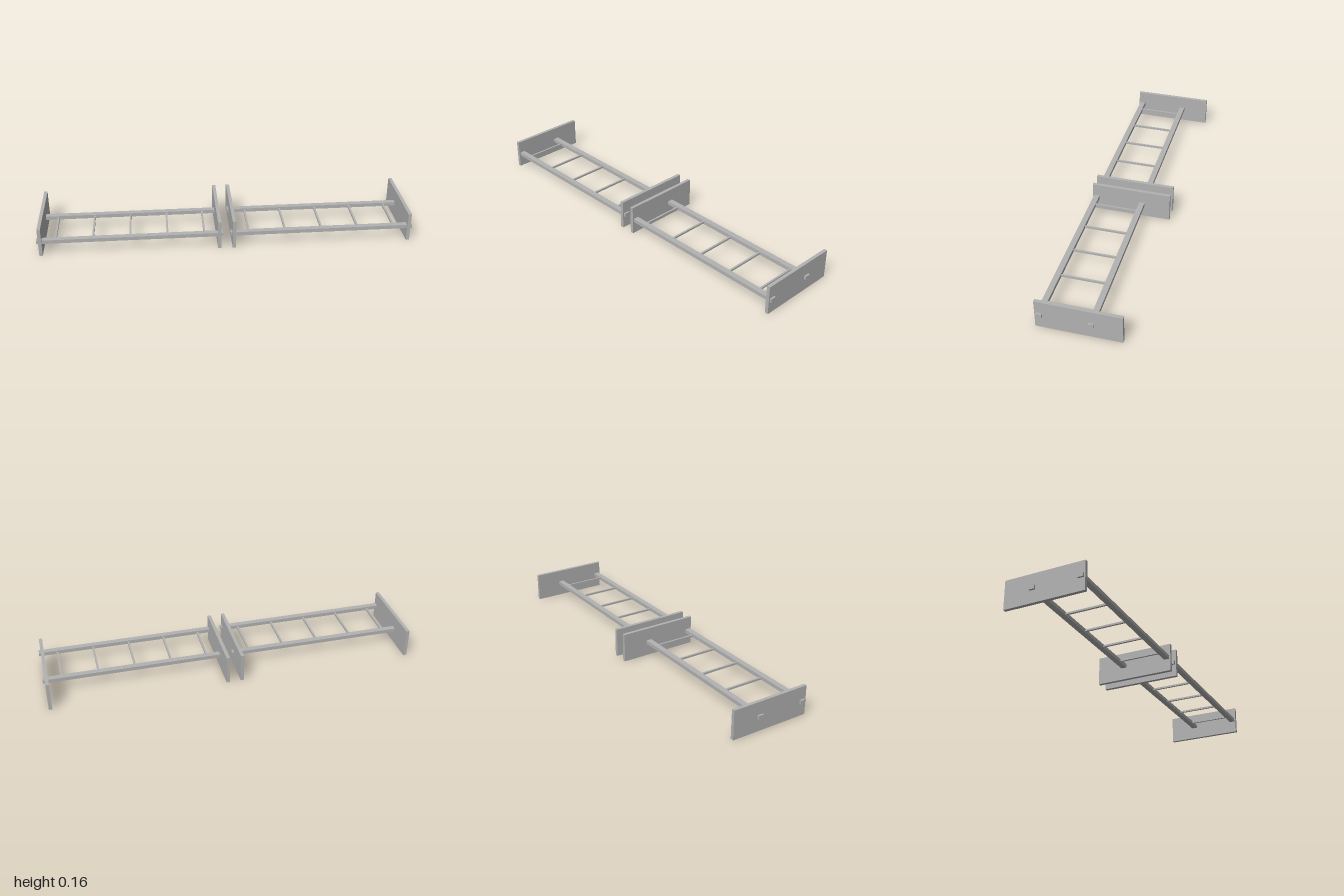
import * as THREE from 'three';

export function createModel() {
  const grey = new THREE.MeshStandardMaterial({ color: 0xb2b2b2 });
  grey.name = 'grey';
  const model = new THREE.Group();
  model.name = 'ladderFrames';

  const H = 0.157, midY = H / 2;
  const railZ = [0.194, -0.062], railD = 0.03;

  function box(parent, name, w, h, d, x, y, z) {
    const mesh = new THREE.Mesh(new THREE.BoxGeometry(w, h, d), grey);
    mesh.name = name;
    mesh.position.set(x, y, z);
    parent.add(mesh);
  }

  // Two identical ladder sections, each standing on a pair of end plates
  for (const side of [-1, 1]) {
    const section = new THREE.Group();
    section.name = side < 0 ? 'rightSection' : 'leftSection';
    section.position.x = side * 0.51;
    model.add(section);

    // End plates
    for (const e of [-1, 1]) box(section, 'endPlate', 0.018, H, 0.432, e * 0.471, midY, 0);

    // Long rails, poking through the plates
    for (const z of railZ) box(section, 'rail', 0.98, 0.02, railD, 0, midY, z);

    // Rungs between the rails
    const span = railZ[0] - railZ[1] - railD;
    for (let i = -2; i <= 2; i++) {
      box(section, 'rung', 0.01, 0.01, span, i * 0.196, midY, (railZ[0] + railZ[1]) / 2);
    }
  }
  return model;
}
